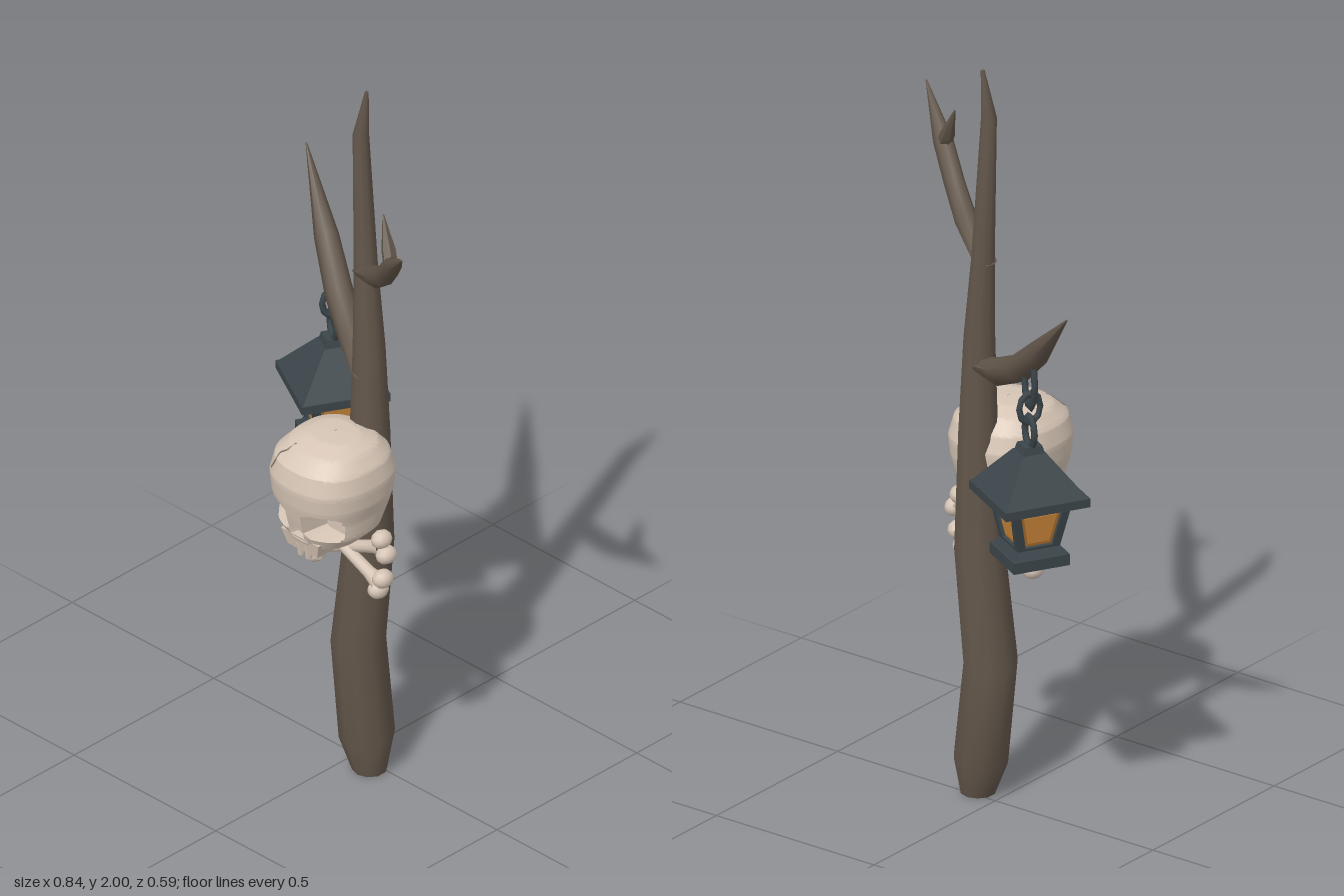
import * as THREE from 'three';
import { toCreasedNormals } from 'three/addons/utils/BufferGeometryUtils.js';
import { ParametricGeometry } from 'three/addons/geometries/ParametricGeometry.js';

function material(name, color) {
  const m = new THREE.MeshStandardMaterial({ color });
  m.name = name;
  return m;
}

export function createModel() {
  const wood = material('darkBark', 0x62564a);
  const bone = material('paleBone', 0xd6c5b5);
  const crackBrown = material('crackBrown', 0x85776a);
  const iron = material('slateIron', 0x3b454a);
  const glass = material('amberGlass', 0xa9702f);
  const glow = material('brightAmber', 0xcc883a);

  const root = new THREE.Group();
  root.name = 'deadTreeWithLanternAndSkull';

  function add(parent, name, geometry, mat, x = 0, y = 0, z = 0) {
    const mesh = new THREE.Mesh(geometry, mat);
    mesh.name = name;
    mesh.position.set(x, y, z);
    parent.add(mesh);
    return mesh;
  }

  // Wooden limb: a cylinder whose rings follow [x, y, z, radius] points
  function limb(points, sides) {
    const n = points.length - 1;
    const geo = new THREE.CylinderGeometry(1, 1, 1, sides, n);
    const pos = geo.attributes.position;
    const up = new THREE.Vector3(0, 1, 0);
    const centres = points.map(p => new THREE.Vector3(p[0], p[1], p[2]));
    const turns = centres.map((c, i) => new THREE.Quaternion().setFromUnitVectors(up,
      centres[Math.min(i + 1, n)].clone().sub(centres[Math.max(i - 1, 0)]).normalize()));
    const v = new THREE.Vector3();
    for (let k = 0; k < pos.count; k++) {
      v.fromBufferAttribute(pos, k);
      const i = Math.round((v.y + 0.5) * n);
      v.y = 0;
      v.multiplyScalar(points[i][3]);
      if (i > 0) v.applyQuaternion(turns[i]);
      v.add(centres[i]);
      pos.setXYZ(k, v.x, v.y, v.z);
    }
    return toCreasedNormals(geo, 0.95);
  }

  // Tree
  const tree = new THREE.Group();
  tree.name = 'tree';
  root.add(tree);
  add(tree, 'trunk', limb([
    [0.07, 0, 0.02, 0.045], [0.06, 0.1, 0.02, 0.072], [0.03, 0.37, 0.02, 0.071],
    [0.066, 0.68, 0.02, 0.066], [0.066, 1.0, 0.015, 0.052], [0.06, 1.25, 0.012, 0.042],
    [0.045, 1.48, 0.008, 0.031], [0.024, 1.87, 0.005, 0.021], [0.04, 2.0, 0, 0.005],
  ], 10), wood);
  add(tree, 'lowerBranch', limb([
    [0.06, 1.18, 0.02, 0.04], [-0.04, 1.205, -0.035, 0.037], [-0.15, 1.265, -0.095, 0.037],
    [-0.26, 1.36, -0.16, 0.032], [-0.42, 1.525, -0.25, 0.002],
  ], 8), wood);
  add(tree, 'upperBranch', limb([
    [0.04, 1.47, 0.01, 0.03], [0.15, 1.53, 0.075, 0.029], [0.23, 1.595, 0.13, 0.027],
    [0.3, 1.675, 0.175, 0.026], [0.415, 1.782, 0.255, 0.002],
  ], 8), wood);
  add(tree, 'twig', limb([
    [0.3, 1.66, 0.175, 0.02], [0.273, 1.705, 0.158, 0.019], [0.236, 1.787, 0.14, 0.002],
  ], 6), wood);

  // Lantern, turned in line with the lower branch
  const lantern = new THREE.Group();
  lantern.name = 'lantern';
  lantern.position.set(-0.217, 0, -0.14);
  lantern.rotation.y = -0.5;
  root.add(lantern);

  // Square tier given by half widths at bottom and top
  function tier(name, y0, y1, half0, half1, mat = iron) {
    const geo = new THREE.CylinderGeometry(half1 * Math.SQRT2, half0 * Math.SQRT2, y1 - y0, 4);
    geo.rotateY(Math.PI / 4);
    add(lantern, name, toCreasedNormals(geo, 0.3), mat, 0, (y0 + y1) / 2, 0);
  }
  tier('lanternFoot', 0.775, 0.805, 0.077, 0.077);
  tier('lanternStep', 0.805, 0.825, 0.068, 0.058);
  tier('lanternGlass', 0.815, 0.945, 0.047, 0.071, glass);
  tier('lanternCollar', 0.93, 0.947, 0.088, 0.092);
  tier('roofEaves', 0.943, 0.966, 0.116, 0.116);
  tier('roofSlope', 0.966, 1.072, 0.112, 0.032);
  tier('roofCap', 1.068, 1.092, 0.03, 0.024);

  const trapezoid = (Type, b, t, h) => new Type([
    new THREE.Vector2(-b, -h), new THREE.Vector2(b, -h),
    new THREE.Vector2(t, h), new THREE.Vector2(-t, h)]);
  const frameShape = trapezoid(THREE.Shape, 0.056, 0.081, 0.064);
  frameShape.holes.push(trapezoid(THREE.Path, 0.037, 0.057, 0.049));
  const frameGeo = new THREE.ExtrudeGeometry(frameShape, { depth: 0.012, bevelEnabled: false });
  frameGeo.translate(0, 0, -0.012);
  const paneGeo = new THREE.ExtrudeGeometry(trapezoid(THREE.Shape, 0.029, 0.045, 0.039),
    { depth: 0.004, bevelEnabled: false });
  paneGeo.translate(0, 0, -0.01);
  for (let i = 0; i < 4; i++) {
    const side = new THREE.Group();
    side.name = 'lanternSide';
    side.rotation.y = i * Math.PI / 2;
    lantern.add(side);
    add(side, 'windowFrame', frameGeo, iron, 0, 0.88, 0.0685).rotation.x = 0.19;
    add(side, 'windowPane', paneGeo, glow, 0, 0.88, 0.0685).rotation.x = 0.19;
  }

  // Chain, with alternate links turned a quarter
  [[1.262, 0.032, 2.05, 0], [1.19, 0.029, 1.35, 1], [1.125, 0.03, 1.35, 0]]
    .forEach(([y, radius, stretch, quarter]) => {
      const link = add(lantern, 'chainLink', new THREE.TorusGeometry(radius, 0.0085, 6, 10), iron, 0, y, 0);
      link.scale.y = stretch;
      link.rotation.y = quarter * Math.PI / 2;
    });

  // Skull: rows of [y, half width, front z, back z], with sunken sockets
  const skull = new THREE.Group();
  skull.name = 'skull';
  root.add(skull);
  const cx = 0.058;
  const rows = [
    [0.79, 0.001, 0.17, 0.15], [0.78, 0.098, 0.257, 0.07], [0.81, 0.125, 0.27, 0.03],
    [0.86, 0.132, 0.282, 0.0], [0.9, 0.143, 0.29, -0.01], [0.95, 0.147, 0.295, -0.015],
    [1.0, 0.135, 0.282, 0.0], [1.035, 0.105, 0.24, 0.03], [1.053, 0.065, 0.19, 0.075],
    [1.056, 0.001, 0.135, 0.125],
  ];
  function skullSurface(u, v, target) {
    const f = Math.min(Math.max(v, 0), 1) * (rows.length - 1);
    const i = Math.min(Math.floor(f), rows.length - 2);
    const [y, half, front, back] = rows[i].map((a, k) => a + (rows[i + 1][k] - a) * (f - i));
    const angle = (u - 0.5) * Math.PI * 2;
    const s = Math.sin(angle), c = Math.cos(angle);
    const dx = half * Math.sign(s) * Math.abs(s) ** 0.88;
    let z = (front + back) / 2 + (front - back) / 2 * Math.sign(c) * Math.abs(c) ** 0.82;
    if (c > 0) {
      const eye = ((Math.abs(dx) - 0.074) / 0.042) ** 4 + ((y - 0.849) / 0.037) ** 4;
      if (eye < 1) z = Math.min(z, 0.195);
      if (y > 0.788 && y < 0.842 && Math.abs(dx) < 0.006 + 0.42 * (0.842 - y)) z = Math.min(z, 0.225);
    }
    target.set(cx + dx, y, z);
  }
  add(skull, 'cranium', toCreasedNormals(new ParametricGeometry(skullSurface, 80, 72), 0.6), bone);

  // Upper jaw and teeth
  const jaw = new THREE.CylinderGeometry(0.066 * Math.SQRT2, 0.052 * Math.SQRT2, 0.045, 4);
  jaw.rotateY(Math.PI / 4);
  jaw.scale(1, 1, 0.72);
  add(skull, 'upperJaw', toCreasedNormals(jaw, 0.3), bone, cx, 0.772, 0.211);
  for (let i = 0; i < 4; i++) {
    const inner = i === 1 || i === 2;
    const tooth = new THREE.CylinderGeometry(0.014, 0.009, 0.035, 6);
    add(skull, 'tooth', tooth, bone, cx + (i - 1.5) * 0.027, inner ? 0.748 : 0.754, inner ? 0.24 : 0.228);
  }

  // Hairline crack on the brow
  const crackPath = [[0.43, 0.8], [0.425, 0.74], [0.405, 0.7], [0.415, 0.66], [0.395, 0.59]].map(([u, v]) => {
    const p = new THREE.Vector3();
    skullSurface(u, v, p);
    return p;
  });
  add(skull, 'browCrack', new THREE.TubeGeometry(
    new THREE.CatmullRomCurve3(crackPath, false, 'catmullrom', 0.1), 20, 0.0025, 5), crackBrown);

  // Crossed bones in front of the trunk
  const shaftProfile = [[0.024, -0.13], [0.017, -0.09], [0.015, 0], [0.017, 0.09], [0.024, 0.13]]
    .map(([r, y]) => new THREE.Vector2(r, y));
  const shaftGeo = new THREE.LatheGeometry(shaftProfile, 10);
  const knobGeo = new THREE.SphereGeometry(0.025, 10, 8);
  for (const side of [-1, 1]) {
    const cross = new THREE.Group();
    cross.name = 'crossBone';
    cross.position.set(0.063, 0.693, 0.094 + side * 0.006);
    cross.rotation.z = side * (Math.PI / 2 - 0.4);
    root.add(cross);
    add(cross, 'boneShaft', shaftGeo, bone);
    for (const end of [-1, 1]) for (const offset of [-1, 1]) {
      add(cross, 'boneKnob', knobGeo, bone, offset * 0.021, end * 0.135, 0).scale.z = 1.2;
    }
  }

  return root;
}
